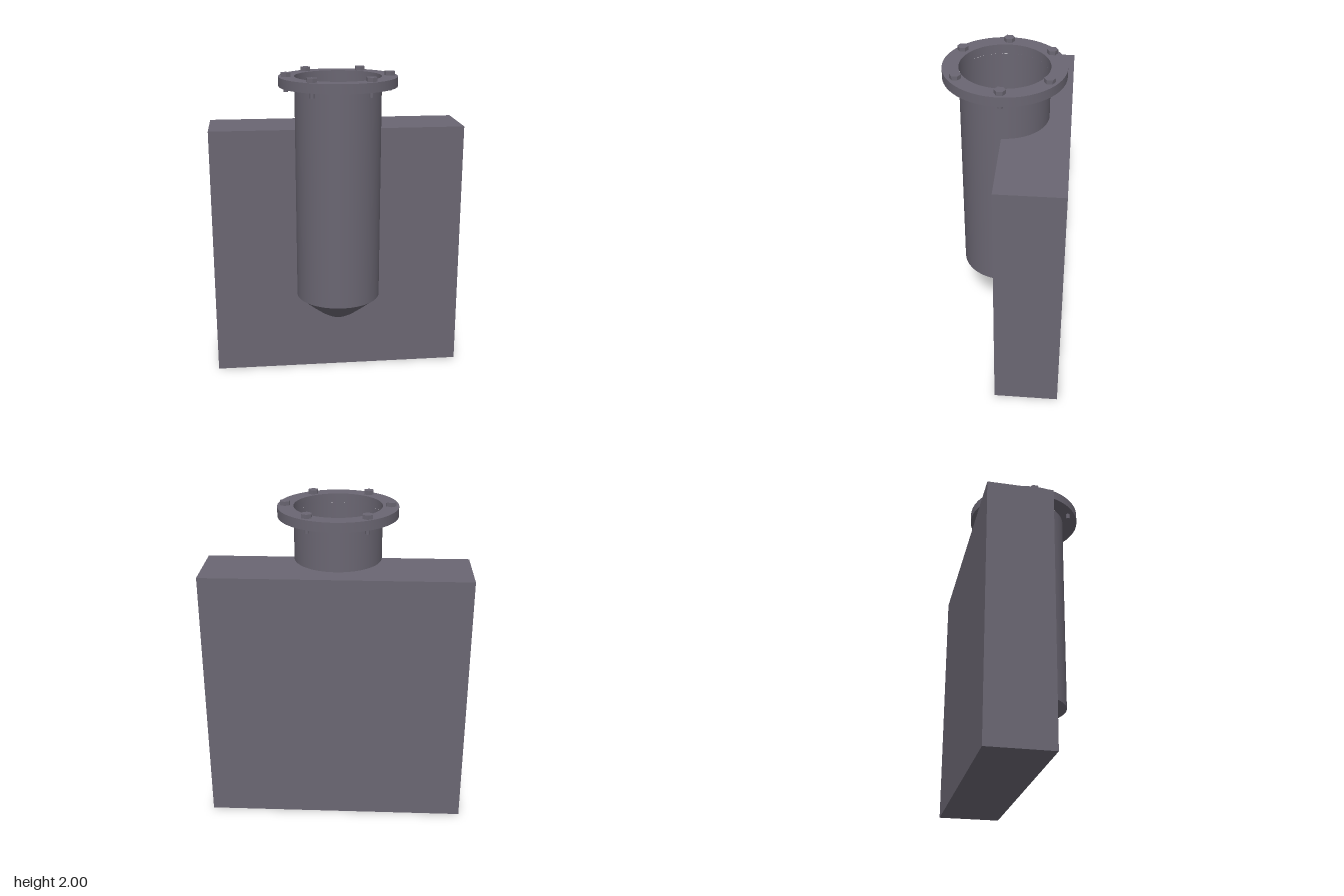
import * as THREE from 'three';
import { toCreasedNormals } from 'three/addons/utils/BufferGeometryUtils.js';

export function createModel() {
  const model = new THREE.Group();
  const slate = new THREE.MeshStandardMaterial({ color: 0x6a6672, side: THREE.DoubleSide });
  slate.name = 'slate grey';

  const add = (parent, name, geometry, x, y, z) => {
    const mesh = new THREE.Mesh(geometry, slate);
    mesh.name = name;
    mesh.position.set(x, y, z);
    parent.add(mesh);
    return mesh;
  };

  const AXIS_Z = 0.017; // pipe axis lies in the front face of the block
  const R = 0.273;

  // Solid block behind the pipe
  add(model, 'block', new THREE.BoxGeometry(1.634, 1.64, 0.407), 0, 0.82, -0.1865);

  // Thin open pipe and its rounded conical bottom
  add(model, 'pipe', new THREE.CylinderGeometry(R, R, 1.39, 48, 1, true), 0, 1.22, AXIS_Z);
  const tip = [[0, 0.363], [0.035, 0.366], [0.075, 0.378], [0.12, 0.405], [0.19, 0.459], [R, 0.528]]
    .map(([r, y]) => new THREE.Vector2(r, y));
  add(model, 'pipeBottom', new THREE.LatheGeometry(tip, 48), 0, 0, AXIS_Z);

  // Flange ring
  const ring = new THREE.Shape().absarc(0, 0, 0.372, 0, Math.PI * 2, false);
  ring.holes.push(new THREE.Path().absarc(0, 0, R, 0, Math.PI * 2, true));
  const flange = new THREE.ExtrudeGeometry(ring, { depth: 0.06, bevelEnabled: false, curveSegments: 48 });
  flange.rotateX(-Math.PI / 2);
  add(model, 'flange', toCreasedNormals(flange, 0.5), 0, 1.915, AXIS_Z);

  // Six hexagonal bolts through the flange
  const head = new THREE.CylinderGeometry(0.034, 0.034, 0.025, 6);
  const shank = new THREE.CylinderGeometry(0.014, 0.014, 0.1, 12);
  const spots = [[-0.325, 0], [0.325, 0], [-0.184, 0.272], [0.172, 0.272], [-0.184, -0.272], [0.172, -0.272]];
  for (const [x, z] of spots) {
    const bolt = new THREE.Group();
    bolt.name = 'bolt';
    bolt.position.set(x, 0, AXIS_Z + z);
    add(bolt, 'boltHead', toCreasedNormals(head, 0.5), 0, 1.9875, 0);
    add(bolt, 'boltShank', shank, 0, 1.93, 0);
    model.add(bolt);
  }
  return model;
}
